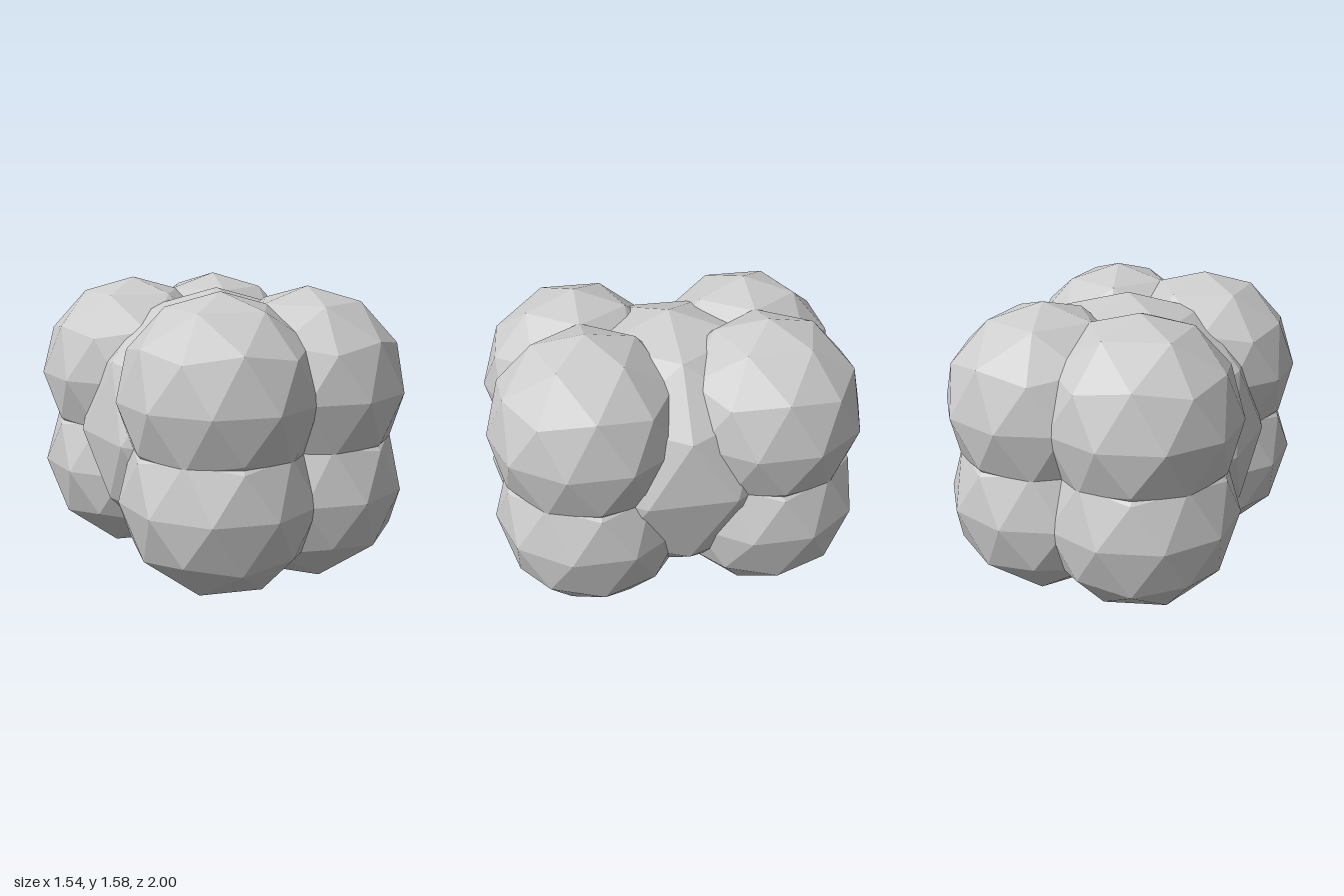
import * as THREE from 'three';

// Faceted ball standing on one of its corners, with an upper-ring corner toward +x
function facetedBall(radius) {
  const geometry = new THREE.IcosahedronGeometry(radius, 1);
  geometry.rotateX(-Math.atan((1 + Math.sqrt(5)) / 2));
  geometry.rotateY(Math.PI / 2);
  return geometry;
}

export function createModel() {
  const group = new THREE.Group();
  group.name = 'ballCluster';
  const material = new THREE.MeshStandardMaterial({ color: 0xcccccc, flatShading: true });

  // Large ball in the middle
  const core = new THREE.Mesh(facetedBall(0.753), material);
  core.name = 'coreBall';
  core.position.y = 0.788;
  group.add(core);

  // Eight smaller balls at the corners, mirrored across the x and y mid-planes
  const cornerGeometry = facetedBall(0.53);
  for (const sx of [1, -1]) {
    for (const sy of [1, -1]) {
      for (const sz of [1, -1]) {
        const ball = new THREE.Mesh(cornerGeometry, material);
        ball.name = `${sy > 0 ? 'upper' : 'lower'}${sz > 0 ? 'Front' : 'Back'}${sx > 0 ? 'Left' : 'Right'}Ball`;
        ball.position.set(sx * 0.268, 0.788 + sy * 0.258, sz * 0.47);
        if (sx * sy > 0) ball.rotation.y = Math.PI;
        group.add(ball);
      }
    }
  }
  return group;
}
